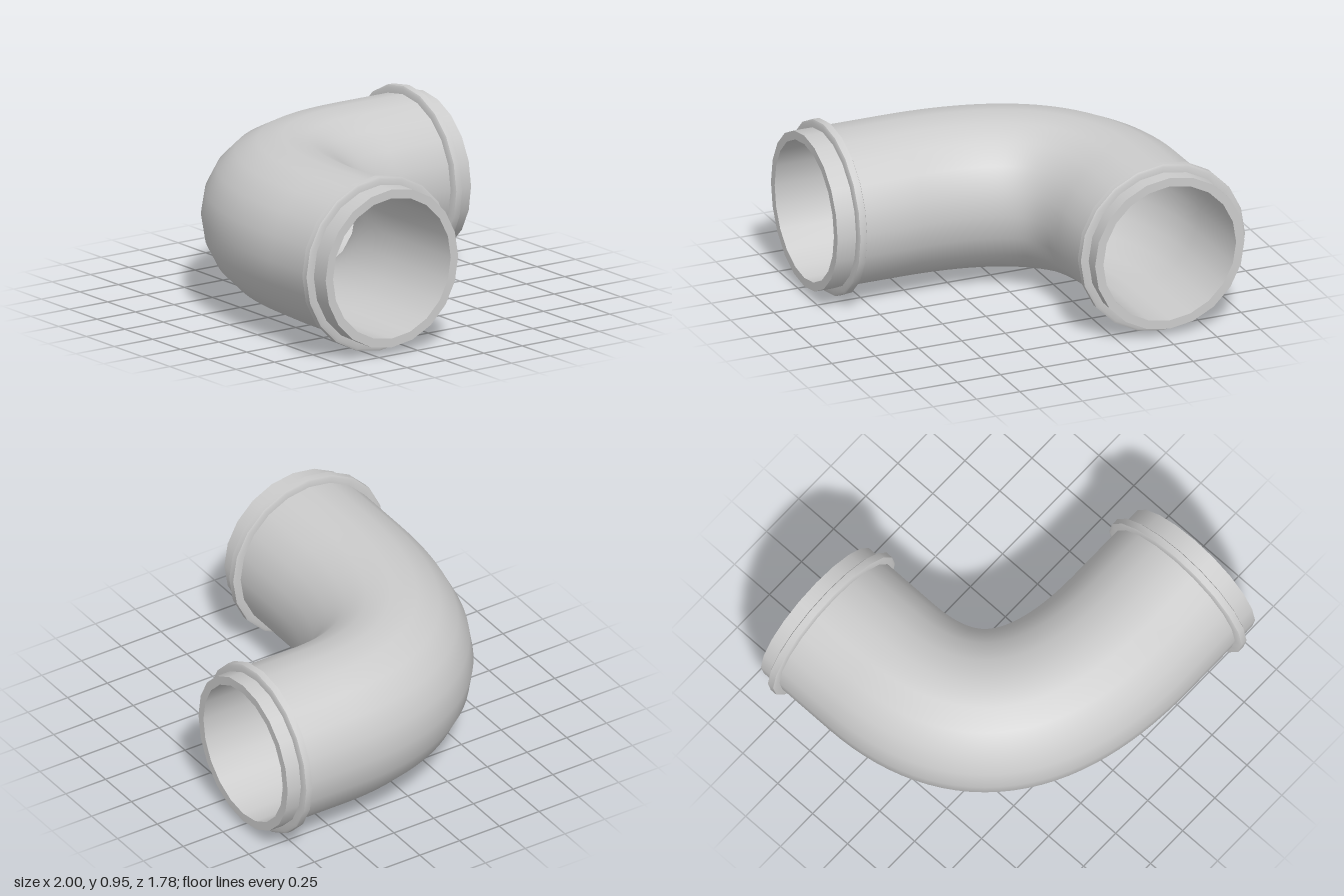
import * as THREE from 'three';
import { toCreasedNormals } from 'three/addons/utils/BufferGeometryUtils.js';

const SIDES = 20, OUTER = 0.431, INNER = 0.383, FLANGE = 0.474;
const Y = 0.48, LEG_X = -0.526, LEG_Z = 0.417;
const UP = new THREE.Vector3(0, 1, 0);
const CREASE = 0.6;

// Centre line samples: straight leg, curved bend, straight leg
function centreLine() {
  const bend = new THREE.QuadraticBezierCurve3(
    new THREE.Vector3(LEG_X, Y, -0.42),
    new THREE.Vector3(LEG_X, Y, LEG_Z),
    new THREE.Vector3(0.5, Y, LEG_Z));
  const samples = [{ p: new THREE.Vector3(LEG_X, Y, -0.89), t: new THREE.Vector3(0, 0, 1) }];
  for (let i = 0; i <= 28; i++) samples.push({ p: bend.getPoint(i / 28), t: bend.getTangent(i / 28) });
  samples.push({ p: new THREE.Vector3(1, Y, LEG_Z), t: new THREE.Vector3(1, 0, 0) });
  return samples;
}

// Hollow wall: rings run along the outside, back along the inside, and close up
function pipeGeometry() {
  const line = centreLine();
  const rings = [
    ...line.map(s => ({ ...s, r: OUTER })),
    ...line.slice().reverse().map(s => ({ ...s, r: INNER })),
  ];
  const positions = [], index = [];
  rings.forEach(({ p, t, r }, i) => {
    const side = new THREE.Vector3().crossVectors(UP, t).normalize();
    const next = (i + 1) % rings.length;
    for (let j = 0; j < SIDES; j++) {
      const a = (j / SIDES) * Math.PI * 2;
      const v = p.clone().addScaledVector(side, r * Math.cos(a)).addScaledVector(UP, r * Math.sin(a));
      positions.push(v.x, v.y, v.z);
      const k = (j + 1) % SIDES;
      const A = i * SIDES + j, B = i * SIDES + k, C = next * SIDES + j, D = next * SIDES + k;
      index.push(A, B, C, B, D, C);
    }
  });
  const geometry = new THREE.BufferGeometry();
  geometry.setAttribute('position', new THREE.Float32BufferAttribute(positions, 3));
  geometry.setIndex(index);
  return toCreasedNormals(geometry, CREASE);
}

// Raised collar with slightly chamfered rims, centred on its axis
function collarGeometry() {
  const h = 0.025, root = OUTER - 0.01;
  const profile = [
    [root, -h], [FLANGE - 0.012, -h], [FLANGE, -h + 0.006],
    [FLANGE, h - 0.006], [FLANGE - 0.012, h], [root, h],
  ].map(([x, y]) => new THREE.Vector2(x, y));
  return toCreasedNormals(new THREE.LatheGeometry(profile, SIDES), CREASE);
}

export function createModel() {
  const model = new THREE.Group();
  model.name = 'pipeElbow';
  const material = new THREE.MeshStandardMaterial({ color: 0xcccccc });

  const pipe = new THREE.Mesh(pipeGeometry(), material);
  pipe.name = 'bentPipe';
  model.add(pipe);

  const collar = collarGeometry();
  const backCollar = new THREE.Mesh(collar, material);
  backCollar.name = 'backCollar';
  backCollar.position.set(LEG_X, Y, -0.782);
  backCollar.rotation.x = Math.PI / 2;

  const leftCollar = new THREE.Mesh(collar, material);
  leftCollar.name = 'leftCollar';
  leftCollar.position.set(0.868, Y, LEG_Z);
  leftCollar.rotation.z = Math.PI / 2;

  model.add(backCollar, leftCollar);
  return model;
}
